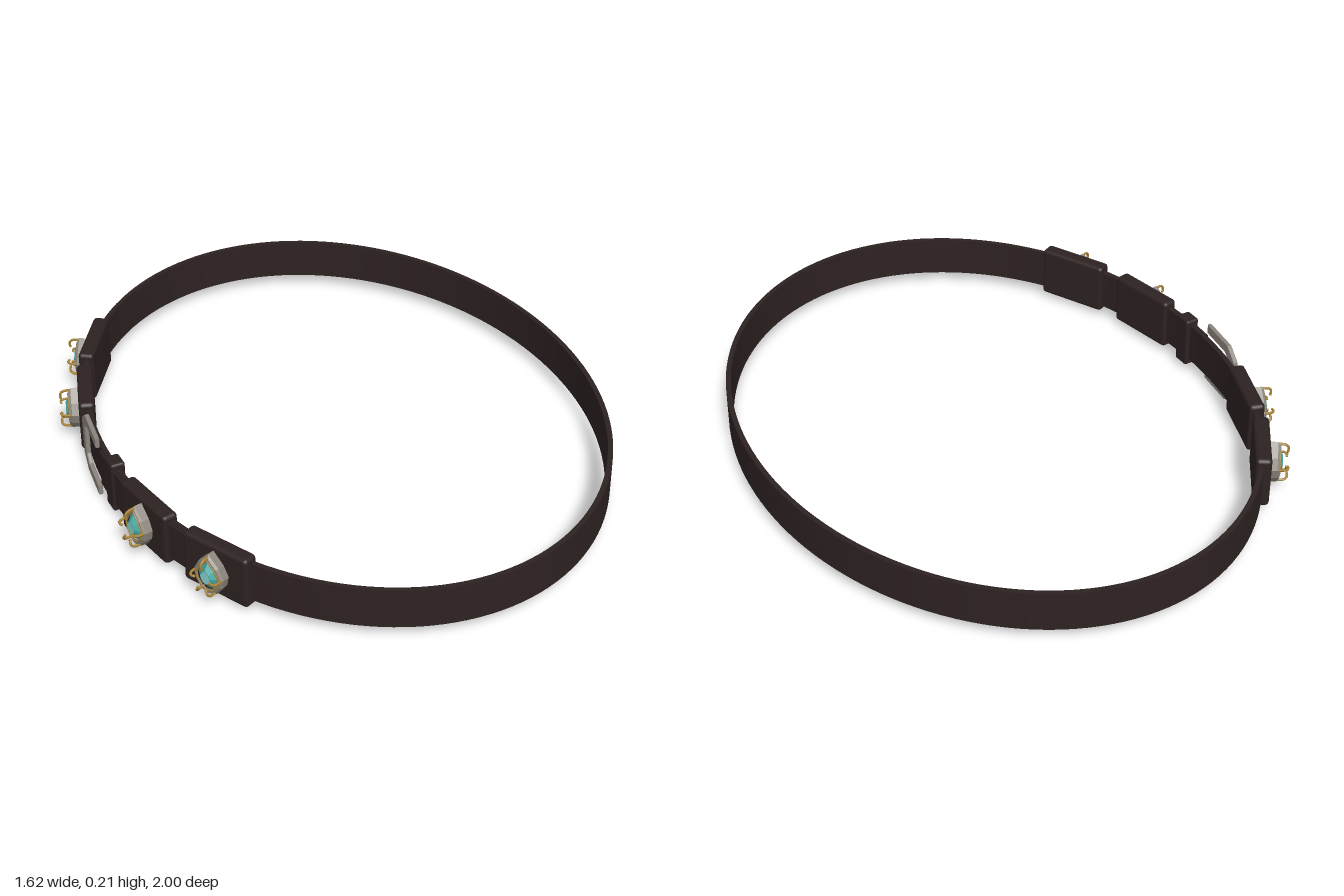
import * as THREE from 'three';
import { toCreasedNormals } from 'three/addons/utils/BufferGeometryUtils.js';
import { RoundedBoxGeometry } from 'three/addons/geometries/RoundedBoxGeometry.js';
import { ConvexGeometry } from 'three/addons/geometries/ConvexGeometry.js';

const material = (name, color) => new THREE.MeshStandardMaterial({ name, color });
const V2 = (x, y) => new THREE.Vector2(x, y);
const V3 = (x, y, z) => new THREE.Vector3(x, y, z);

const CX = 0.02, RX = 0.775, RZ = 0.99; // belt ellipse
const MID = 0.104; // height of the belt's centre line

export function createModel() {
  const leather = material('dark leather', 0x2e2222);
  const steel = material('buckle steel', 0x8c857e);
  const silver = material('setting silver', 0x8a857c);
  const gold = material('gold', 0xb08a3c);
  const teal = material('teal crystal', 0x45a8a2);
  const pale = material('pale crystal', 0x86cfcb);

  const model = new THREE.Group();
  model.name = 'belt';

  const add = (parent, name, geometry, mat) => {
    const mesh = new THREE.Mesh(geometry, mat);
    mesh.name = name;
    parent.add(mesh);
    return mesh;
  };

  // Strap following the ellipse; angle 0 is the buckle side (-x)
  const strap = (name, a0, a1, inner, outer, height, steps) => {
    const point = (a, off) => V2(CX - (RX + off) * Math.cos(a), -(RZ + off) * Math.sin(a));
    const pts = [];
    for (let i = 0; i <= steps; i++) pts.push(point(a0 + (a1 - a0) * i / steps, outer));
    for (let i = steps; i >= 0; i--) pts.push(point(a0 + (a1 - a0) * i / steps, inner));
    const g = new THREE.ExtrudeGeometry(new THREE.Shape(pts), { depth: height, bevelEnabled: false });
    g.rotateX(-Math.PI / 2).translate(0, MID - height / 2, 0);
    add(model, name, toCreasedNormals(g, 0.5), leather);
  };
  // The strap's seam is hidden inside a sleeve
  strap('strap', 0.27, 0.269 + Math.PI * 2, -0.008, 0.008, 0.13, 140);
  strap('tongue', -0.04, 0.5, 0.007, 0.016, 0.122, 20);

  // Group on the ellipse at a given z: local x along the strap, local z outward
  const mount = (name, z) => {
    const group = new THREE.Group(), s = z / RZ, c = Math.sqrt(1 - s * s);
    group.name = name;
    group.position.set(CX - RX * c, MID, z);
    group.rotation.y = Math.atan2(-c / RX, s / RZ);
    model.add(group);
    return group;
  };

  // Outline of a jewel, pointed at the top
  const half = [[0.034, 0.036], [0.052, 0.002], [0.046, -0.028], [0.026, -0.056]];
  const outline = [[0, 0.07], ...half, [0, -0.066], ...half.map(([x, y]) => [-x, y]).reverse()];
  const scaled = (k) => outline.map(([x, y]) => V2(x * k, y * k));
  const ring = (k, z) => outline.map(([x, y]) => V3(x * k, y * k, z));

  const settingShape = new THREE.Shape(scaled(0.94));
  settingShape.holes.push(new THREE.Path(scaled(0.68)));
  const settingGeo = new THREE.ExtrudeGeometry(settingShape, {
    depth: 0.022, bevelThickness: 0.008, bevelSize: 0.005, bevelSegments: 1,
  }).translate(0, 0, 0.026);
  const crystalGeo = new ConvexGeometry([...ring(0.72, 0.03), ...ring(0.7, 0.05), ...ring(0.36, 0.066)]);
  const facetGeo = new THREE.ShapeGeometry(new THREE.Shape(scaled(0.34))).translate(0, 0, 0.067);
  const rimGeo = new THREE.TubeGeometry(
    new THREE.CatmullRomCurve3(ring(0.78, 0.056), true, 'catmullrom', 0.1), 40, 0.003, 5, true);

  // Sleeves, each carrying a claw-set jewel
  const sleeveGeo = new RoundedBoxGeometry(0.235, 0.17, 0.05, 2, 0.012);
  for (const z of [-0.62, -0.365, 0.27, 0.557]) {
    const sleeve = mount('jewelledSleeve', z);
    add(sleeve, 'sleeve', sleeveGeo, leather);
    add(sleeve, 'setting', settingGeo, silver);
    add(sleeve, 'crystal', crystalGeo, teal);
    add(sleeve, 'crystalFacet', facetGeo, pale);
    add(sleeve, 'goldRim', rimGeo, gold);
    for (const i of [0, 2, 4, 6, 8]) {
      const [x, y] = outline[i];
      const curve = new THREE.QuadraticBezierCurve3(
        V3(x * 0.92, y * 0.92, 0.045), V3(x * 1.0, y * 1.0, 0.09), V3(x * 0.55, y * 0.55, 0.08));
      add(sleeve, 'claw', new THREE.TubeGeometry(curve, 7, 0.0042, 5), gold);
      const tip = add(sleeve, 'clawTip', new THREE.SphereGeometry(0.0045, 6, 4), gold);
      tip.position.set(x * 0.55, y * 0.55, 0.08);
    }
  }

  // Keeper loop
  add(mount('keeper', 0.055), 'keeperLoop', new RoundedBoxGeometry(0.058, 0.17, 0.046, 2, 0.008), leather);

  // Open buckle frame: two arms joined by a bar lying over the strap
  const arm = [[0.09, 0.102], [-0.045, 0.102], [-0.092, 0.066]];
  const inner = [[-0.06, 0.052], [-0.032, 0.073], [0.09, 0.073]];
  const flip = (list) => list.map(([x, y]) => [x, -y]).reverse();
  const frame = [...arm, ...flip(arm), ...flip(inner), ...inner];
  const frameGeo = new THREE.ExtrudeGeometry(new THREE.Shape(frame.map(([x, y]) => V2(x, y))), {
    depth: 0.008, bevelThickness: 0.003, bevelSize: 0.002, bevelSegments: 1,
  }).translate(0, 0, 0.012);
  add(mount('buckle', -0.13), 'buckleFrame', frameGeo, steel);

  return model;
}
